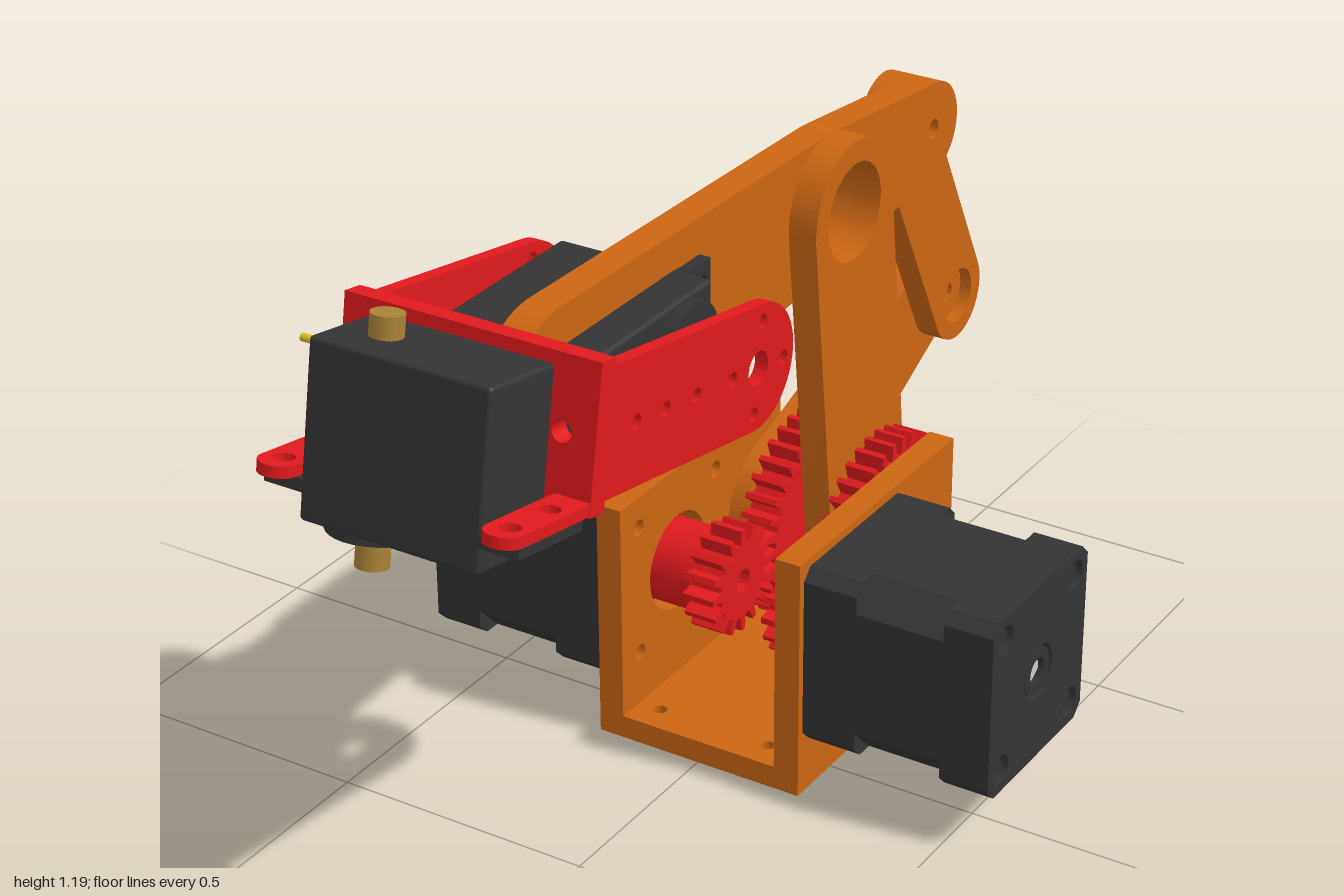
import * as THREE from 'three';
import { toCreasedNormals } from 'three/addons/utils/BufferGeometryUtils.js';
import { RoundedBoxGeometry } from 'three/addons/geometries/RoundedBoxGeometry.js';

const mat = (color) => new THREE.MeshStandardMaterial({ color });
const orange = mat(0xcc6614), red = mat(0xe01a1c), dark = mat(0x343434);
const brass = mat(0xa98236), yellow = mat(0xd8c020), grey = mat(0xcccccc);

function add(parent, name, geometry, material) {
  const mesh = new THREE.Mesh(geometry, material);
  mesh.name = name;
  parent.add(mesh);
  return mesh;
}

function punch(shape, holes) {
  for (const [x, y, r] of holes) shape.holes.push(new THREE.Path().absarc(x, y, r, 0, Math.PI * 2, true));
  return shape;
}

const extrude = (shape, depth) =>
  new THREE.ExtrudeGeometry(shape, { depth, bevelEnabled: false, curveSegments: 28 });

// Side profile drawn as (-z, y), extruded from x0 to x1
function plate(parent, name, shape, x0, x1, material) {
  const g = extrude(shape, x1 - x0).rotateY(Math.PI / 2).translate(x0, 0, 0);
  return add(parent, name, toCreasedNormals(g, 0.4), material);
}

// Plan profile drawn as (x, z), extruded from y0 up to y1
function slab(parent, name, shape, y0, y1, material) {
  const g = extrude(shape, y1 - y0).rotateX(Math.PI / 2).translate(0, y1, 0);
  return add(parent, name, toCreasedNormals(g, 0.4), material);
}

function rod(parent, name, r, y0, y1, x, z, material, sides = 28) {
  const g = new THREE.CylinderGeometry(r, r, y1 - y0, sides).translate(x, (y0 + y1) / 2, z);
  return add(parent, name, g, material);
}

const poly = (pts) => new THREE.Shape(pts.map(([x, y]) => new THREE.Vector2(x, y)));
const rect = (x0, y0, x1, y1) => poly([[x0, y0], [x1, y0], [x1, y1], [x0, y1]]);

// Belt outline around a closed counter-clockwise chain of circles [x, y, r]
function belt(circles) {
  const n = circles.length;
  const normal = (a, b) => Math.atan2(b[1] - a[1], b[0] - a[0])
    - Math.acos((a[2] - b[2]) / Math.hypot(b[0] - a[0], b[1] - a[1]));
  const shape = new THREE.Shape();
  circles.forEach((c, i) => {
    const from = normal(circles[(i + n - 1) % n], c);
    let to = normal(c, circles[(i + 1) % n]);
    while (to < from) to += Math.PI * 2;
    while (to - from > Math.PI * 2) to -= Math.PI * 2;
    shape.absarc(c[0], c[1], c[2], from, to, false);
  });
  return shape;
}

function gearShape(cx, cy, rOut, rRoot, teeth, hole) {
  const pts = [];
  for (let i = 0; i < teeth; i++) {
    for (const [t, r] of [[-0.3, rRoot], [-0.14, rOut], [0.14, rOut], [0.3, rRoot]]) {
      const a = ((i + t) / teeth) * Math.PI * 2;
      pts.push([cx + r * Math.cos(a), cy + r * Math.sin(a)]);
    }
  }
  return punch(poly(pts), hole ? [[cx, cy, hole]] : []);
}

// Square with cut corners
function octagon(cx, cy, h, c) {
  const k = h - c;
  return poly([[-k, -h], [k, -h], [h, -k], [h, k], [k, h], [-k, h], [-h, k], [-h, -k]]
    .map(([x, y]) => [x + cx, y + cy]));
}

// Joint positions as (-z, y)
const HUB = [0.36, 0.28], MOTOR = [0.075, 0.28], ELBOW = [0.285, 0.955];
const CRANK = [0.905, 0.51], REAR = [0.672, 0.96], NOSE = [-0.552, 0.936];
const corners = [[-1, -1], [1, -1], [1, 1], [-1, 1]]
  .map(([a, b]) => [MOTOR[0] + a * 0.13, MOTOR[1] + b * 0.13]);

function buildBase(root) {
  const base = new THREE.Group();
  base.name = 'baseBracket';
  const holes = [...corners.map((c) => [...c, 0.016]), [...MOTOR, 0.095], [...HUB, 0.035]];
  for (const x of [-0.21, 0.16]) {
    plate(base, 'baseWall', punch(rect(-0.115, 0, 0.438, 0.472), holes), x, x + 0.05, orange);
  }
  const bolts = [[-0.115, 0.06, 0.013], [0.115, 0.06, 0.013], [-0.115, -0.38, 0.013], [0.115, -0.38, 0.013]];
  slab(base, 'baseFloor', punch(rect(-0.16, -0.438, 0.16, 0.115), bolts), 0, 0.045, orange);
  root.add(base);
}

function buildMotor(root, s) {
  const motor = new THREE.Group();
  motor.name = s > 0 ? 'leftMotor' : 'rightMotor';
  const span = (name, shape, a, b, m) => plate(motor, name, shape, Math.min(s * a, s * b), Math.max(s * a, s * b), m);
  const [cx, cy] = MOTOR;
  const cap = () => octagon(cx, cy, 0.176, 0.022);
  span('motorFrontCap', cap(), 0.21, 0.315, dark);
  span('motorCore', octagon(cx, cy, 0.176, 0.055), 0.315, 0.485, dark);
  span('motorRearCap', cap(), 0.485, 0.56, dark);
  span('motorRearFace', punch(cap(), [...corners.map((c) => [...c, 0.028]), [cx, cy, 0.052]]), 0.56, 0.58, dark);
  const disc = (x, y, r) => new THREE.Shape().absarc(x, y, r, 0, Math.PI * 2, false);
  for (const c of corners) span('motorScrew', disc(...c, 0.018), 0.56, 0.572, dark);
  span('motorBearing', punch(disc(cx, cy, 0.046), [[cx, cy, 0.026]]), 0.56, 0.578, dark);
  span('motorShaftEnd', gearShape(cx, cy, 0.024, 0.02, 3), 0.56, 0.568, grey);
  root.add(motor);
}

function buildGears(root) {
  const [mx, my] = MOTOR;
  for (const [x0, x1, h0, h1] of [[-0.085, -0.02, -0.19, -0.085], [0.08, 0.14, 0.14, 0.19]]) {
    plate(root, 'driveGear', gearShape(...HUB, 0.202, 0.17, 34, 0.035), x0, x1, red);
    plate(root, 'pinion', gearShape(mx, my, 0.104, 0.076, 16, 0.022), x0, x1, red);
    const hub = new THREE.Shape().absarc(mx, my, 0.08, 0, Math.PI * 2, false);
    plate(root, 'pinionHub', punch(hub, [[mx, my, 0.022]]), h0, h1, red);
  }
}

function buildArms(root) {
  const pin = 0.019, bore = 0.055;
  plate(root, 'lowerArm', punch(belt([[...HUB, 0.135], [...ELBOW, 0.135]]),
    [[...HUB, 0.035], [...ELBOW, 0.092]]), 0.025, 0.08, orange);
  plate(root, 'crankArm', punch(belt([[...HUB, 0.135], [...CRANK, 0.09]]),
    [[...HUB, 0.035], [...CRANK, pin]]), -0.145, -0.083, orange);
  // Rear link in two layers, giving a counterbore on opposite sides
  for (const [x0, x1, a, b] of [[-0.083, -0.059, pin, bore], [-0.059, -0.035, bore, pin]]) {
    plate(root, 'rearLink', punch(belt([[...CRANK, 0.09], [...REAR, 0.09]]),
      [[...CRANK, a], [...REAR, b]]), x0, x1, orange);
  }
  const elbow = [...ELBOW, 0.135];
  const forearm = punch(belt([[...NOSE, 0.166], elbow, [...REAR, 0.09], elbow]),
    [[...ELBOW, 0.092], [...REAR, pin]]);
  forearm.holes.push(new THREE.Path([[-0.555, 0.858], [-0.555, 1.032], [-0.205, 1.032], [-0.205, 0.858]]
    .map(([x, y]) => new THREE.Vector2(x, y))));
  plate(root, 'forearm', forearm, -0.035, 0.025, orange);
}

// Servo: long along x, output shaft toward +y
function buildServo(name) {
  const servo = new THREE.Group();
  servo.name = name;
  add(servo, 'servoBody', new RoundedBoxGeometry(0.336, 0.299, 0.17, 2, 0.008).translate(0, -0.008, 0), dark);
  const holes = [];
  for (const x of [-0.212, 0.212]) for (const z of [-0.043, 0.043]) holes.push([x, z, 0.017]);
  slab(servo, 'servoTabs', punch(rect(-0.237, -0.085, 0.237, 0.085), holes), 0.073, 0.095, dark);
  rod(servo, 'servoGearDome', 0.078, 0.135, 0.157, 0.085, 0, dark);
  rod(servo, 'outputShaft', 0.028, 0.15, 0.218, 0.085, 0, brass);
  rod(servo, 'rearStud', 0.028, -0.195, -0.15, 0.085, 0, brass);
  add(servo, 'servoTag', new THREE.BoxGeometry(0.09, 0.008, 0.09).translate(-0.07, 0.143, 0), yellow);
  add(servo, 'cableRelief', new THREE.CylinderGeometry(0.011, 0.018, 0.05, 16)
    .rotateZ(-Math.PI / 2).translate(0.19, -0.117, 0), dark);
  add(servo, 'cable', new THREE.CylinderGeometry(0.007, 0.007, 0.03, 12)
    .rotateZ(-Math.PI / 2).translate(0.227, -0.117, 0), yellow);
  return servo;
}

function buildWrist(root) {
  // Servo lying through the forearm, its shaft toward +x
  const inner = buildServo('forearmServo');
  const v = (x, y, z) => new THREE.Vector3(x, y, z);
  inner.quaternion.setFromRotationMatrix(new THREE.Matrix4().makeBasis(v(0, 0, -1), v(1, 0, 0), v(0, -1, 0)));
  inner.position.set(-0.0475, 0.945, 0.38);
  root.add(inner);

  // U-bracket pivoting on that shaft
  const wrist = new THREE.Group();
  wrist.name = 'wristBracket';
  wrist.position.set(0, 0.942, 0.302);
  wrist.rotation.x = -THREE.MathUtils.degToRad(10);
  for (const x of [-0.235, 0.213]) {
    const wall = new THREE.Shape().moveTo(-0.45, -0.11).lineTo(0, -0.11)
      .absarc(0, 0, 0.11, -Math.PI / 2, Math.PI / 2, false).lineTo(-0.45, 0.11);
    const small = [[0, 0.08], [0, -0.08], [0.08, 0], [-0.08, 0], [-0.19, 0], [-0.28, 0], [-0.365, 0]];
    plate(wrist, 'bracketWall', punch(wall, [[0, 0, 0.03], ...small.map((p) => [...p, 0.013])]), x, x + 0.024, red);
  }
  const face = punch(rect(-0.237, -0.125, 0.242, 0.125), [[-0.18, 0, 0.018], [0.18, 0, 0.018]]);
  add(wrist, 'bracketFace', extrude(face, 0.04).translate(0, 0, 0.447), red);
  for (const s of [-1, 1]) {
    const ear = belt([[s * 0.21, 0.5, 0.034], [s * 0.21, 0.668, 0.034]]);
    slab(wrist, 'servoEar', punch(ear, [[s * 0.21, 0.55, 0.018], [s * 0.21, 0.655, 0.018]]), -0.12, -0.1, red);
  }
  const outer = buildServo('wristServo');
  outer.rotation.z = Math.PI;
  outer.position.set(0, -0.0475, 0.583);
  wrist.add(outer);
  root.add(wrist);
}

export function createModel() {
  const root = new THREE.Group();
  root.name = 'robotArm';
  buildBase(root);
  for (const s of [-1, 1]) buildMotor(root, s);
  buildGears(root);
  buildArms(root);
  buildWrist(root);
  return root;
}
